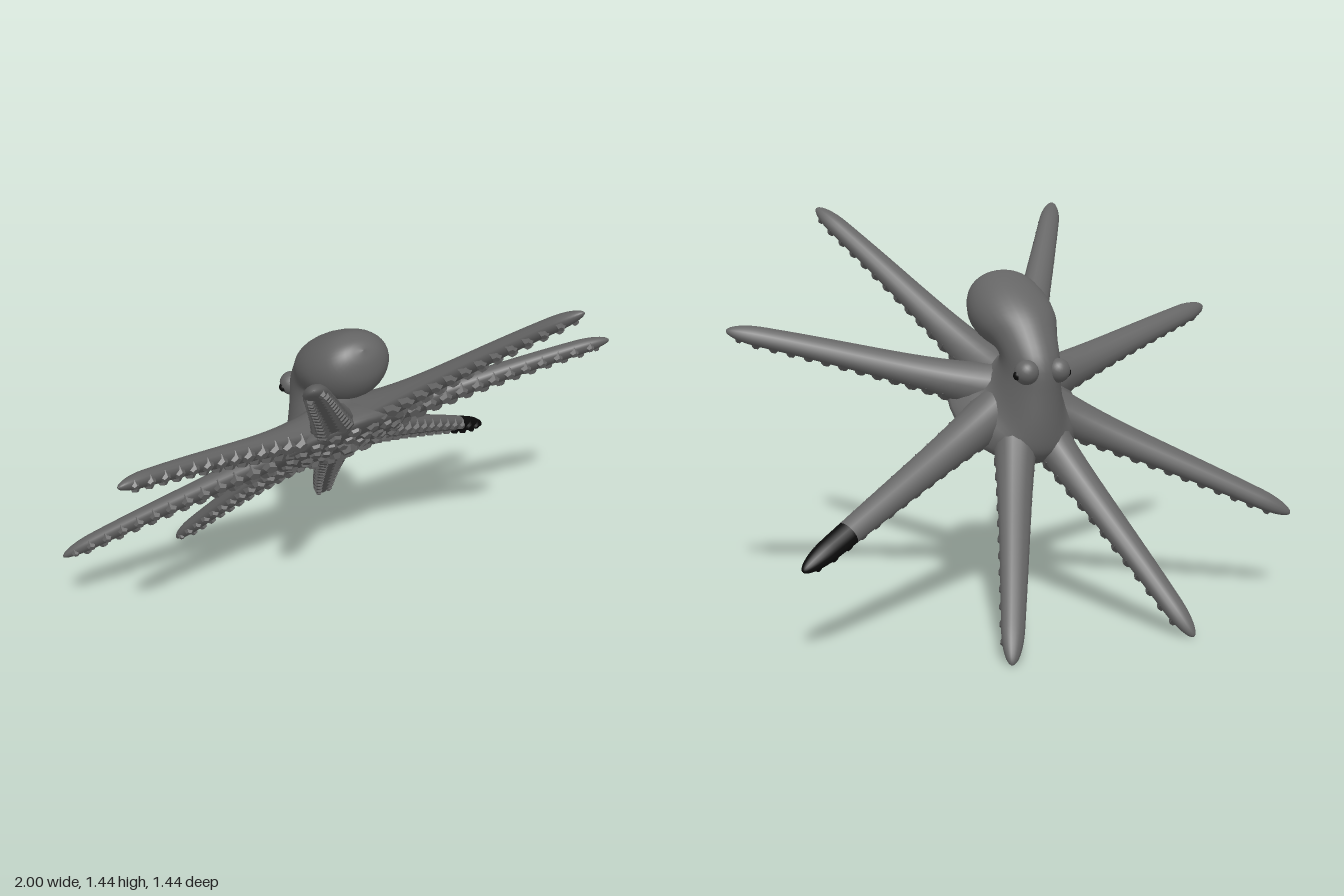
import * as THREE from 'three';
import { mergeGeometries } from 'three/addons/utils/BufferGeometryUtils.js';

const V = (x, y, z) => new THREE.Vector3(x, y, z);
const UP = V(0, 1, 0);
const skin = new THREE.MeshStandardMaterial({ color: 0x646464 });
const chip = new THREE.MeshStandardMaterial({ color: 0x646464, flatShading: true });
const black = new THREE.MeshStandardMaterial({ color: 0x0a0a0a });

function add(parent, name, geometry, material) {
  const mesh = new THREE.Mesh(geometry, material);
  mesh.name = name;
  parent.add(mesh);
  return mesh;
}

// Smooth skin over closed rings of points
function loft(rings) {
  const n = rings[0].length, index = [];
  for (let i = 0; i < rings.length - 1; i++) {
    for (let j = 0; j < n; j++) {
      const a = i * n + j, b = i * n + (j + 1) % n;
      index.push(a, b, a + n, b, b + n, a + n);
    }
  }
  const g = new THREE.BufferGeometry().setFromPoints(rings.flat());
  g.setIndex(index);
  g.computeVertexNormals();
  return g;
}

// Blunt five-sided sucker, pointing along dir
function sucker(pos, dir, r, h) {
  const g = new THREE.CylinderGeometry(r * 0.5, r, h, 5);
  g.applyQuaternion(new THREE.Quaternion().setFromUnitVectors(UP, dir.clone().normalize()));
  return g.translate(pos.x, pos.y, pos.z);
}

// Head and mantle sections: front edge (y, z), rear edge (y, z), half width
const SECTIONS = [
  [-0.02, 0.03, -0.02, 0.03, 0.001],
  [-0.018, -0.13, -0.018, 0.2, 0.17],
  [0.005, -0.25, 0.01, 0.3, 0.255],
  [0.07, -0.265, 0.065, 0.255, 0.205],
  [0.13, -0.235, 0.11, 0.195, 0.145],
  [0.24, -0.135, 0.15, 0.165, 0.11],
  [0.325, -0.045, 0.163, 0.163, 0.105],
  [0.362, 0.08, 0.15, 0.175, 0.12],
  [0.372, 0.18, 0.12, 0.225, 0.147],
  [0.352, 0.3, 0.095, 0.3, 0.155],
  [0.308, 0.41, 0.115, 0.385, 0.125],
  [0.26, 0.45, 0.165, 0.437, 0.07],
  [0.215, 0.458, 0.215, 0.458, 0.001],
];

function bodyGeometry() {
  const front = new THREE.CatmullRomCurve3(SECTIONS.map(s => V(s[4], s[0], s[1])));
  const rear = new THREE.CatmullRomCurve3(SECTIONS.map(s => V(0, s[2], s[3])));
  const rings = [], steps = 48, sides = 32;
  for (let i = 0; i <= steps; i++) {
    const f = front.getPoint(i / steps), b = rear.getPoint(i / steps);
    const width = Math.max(f.x, 0.001);
    f.x = 0;
    const mid = f.clone().add(b).multiplyScalar(0.5);
    const half = f.sub(mid);
    rings.push(Array.from({ length: sides }, (_, j) => {
      const a = j / sides * Math.PI * 2;
      return mid.clone().addScaledVector(half, Math.cos(a)).add(V(-width * Math.sin(a), 0, 0));
    }));
  }
  return loft(rings);
}

// Straight tapering arm, flatter below, rising and widening into the body
function armShape(tipX, tipZ) {
  const tip = V(tipX, 0, tipZ), root = V(0, 0, 0.03);
  const dir = tip.clone().sub(root).normalize();
  root.addScaledVector(dir, 0.05);
  const side = UP.clone().cross(dir);
  return {
    side,
    at(t) {
      const end = t > 0.88 ? Math.sqrt(Math.max(1 - ((t - 0.88) / 0.12) ** 2, 0.0004)) : 1;
      const center = root.clone().lerp(tip, t);
      center.y = 0.038 - 0.033 * t ** 3;
      return {
        center,
        w: (0.078 - 0.041 * t + 0.03 * (1 - t) ** 6) * end,
        top: (0.055 - 0.026 * t + 0.075 * (1 - t) ** 5) * end,
        bottom: (0.038 - 0.015 * t) * end,
      };
    },
  };
}

function armGeometry(arm, t0, t1) {
  const rings = [], steps = 32, sides = 16;
  for (let i = 0; i <= steps; i++) {
    const p = arm.at(t0 + (t1 - t0) * Math.sin(i / steps * Math.PI / 2));
    rings.push(Array.from({ length: sides }, (_, j) => {
      const a = j / sides * Math.PI * 2, s = Math.sin(a);
      return p.center.clone().addScaledVector(arm.side, p.w * Math.cos(a))
        .addScaledVector(UP, s * (s > 0 ? p.top : p.bottom));
    }));
  }
  return loft(rings);
}

// Two staggered rows of suckers on the underside
function armSuckers(arm, t0, t1) {
  const parts = [], count = 13;
  for (let k = 0; k < count; k++) {
    for (const s of [-1, 1]) {
      const t = 0.17 + 0.81 * (k + (s > 0 ? 0.5 : 0)) / count;
      if (t < t0 || t >= t1) continue;
      const p = arm.at(t);
      const pos = p.center.clone().addScaledVector(arm.side, s * p.w * 0.62);
      pos.y -= p.bottom * 0.75;
      const dir = V(0, -1, 0).addScaledVector(arm.side, s * 0.5);
      parts.push(sucker(pos, dir, p.w * 0.58, 0.01 + p.w * 0.28));
    }
  }
  return mergeGeometries(parts);
}

export function createModel() {
  const model = new THREE.Group();
  model.name = 'octopus';
  const body = new THREE.Group();
  body.name = 'tiltedBody';
  body.rotation.x = -Math.PI / 4;
  body.position.y = 0.72;
  model.add(body);

  add(body, 'headAndMantle', bodyGeometry(), skin);

  // Four arms on each side; one has a black tip
  const tips = [[0.515, 1.015], [1, 0.435], [0.96, -0.58], [0.35, -1.02]];
  for (const m of [-1, 1]) {
    tips.forEach(([x, z], i) => {
      const arm = armShape(m * x, z);
      const dark = m > 0 && i === 2;
      const split = dark ? 0.8 : 1;
      add(body, 'arm', armGeometry(arm, 0, split), skin);
      add(body, 'armSuckers', armSuckers(arm, 0, split), chip);
      if (dark) {
        add(body, 'blackArmTip', armGeometry(arm, split, 1), black);
        add(body, 'blackTipSuckers', armSuckers(arm, split, 1), black);
      }
    });

    // Eye in a low raised socket under a brow
    const socket = add(body, 'eyeSocket', new THREE.SphereGeometry(0.045, 20, 14), skin);
    socket.position.set(m * 0.062, 0.288, -0.045);
    const eye = add(body, 'eye', new THREE.SphereGeometry(0.017, 16, 12), black);
    eye.position.set(m * 0.097, 0.282, -0.052);
  }

  // Rings of suckers around the mouth
  const disc = [];
  for (const [r, n, y] of [[0.085, 7, -0.02], [0.15, 13, -0.018], [0.215, 18, -0.01]]) {
    for (let i = 0; i < n; i++) {
      const a = (i + 0.5) / n * Math.PI * 2;
      const pos = V(r * Math.sin(a), y, 0.03 + r * Math.cos(a));
      disc.push(sucker(pos, V(Math.sin(a) * 0.35, -1, Math.cos(a) * 0.35), 0.036, 0.03));
    }
  }
  add(body, 'mouthSuckers', mergeGeometries(disc), chip);
  add(body, 'beak', sucker(V(0, -0.03, 0.06), V(0, -1, 0), 0.045, 0.04), chip);

  return model;
}
